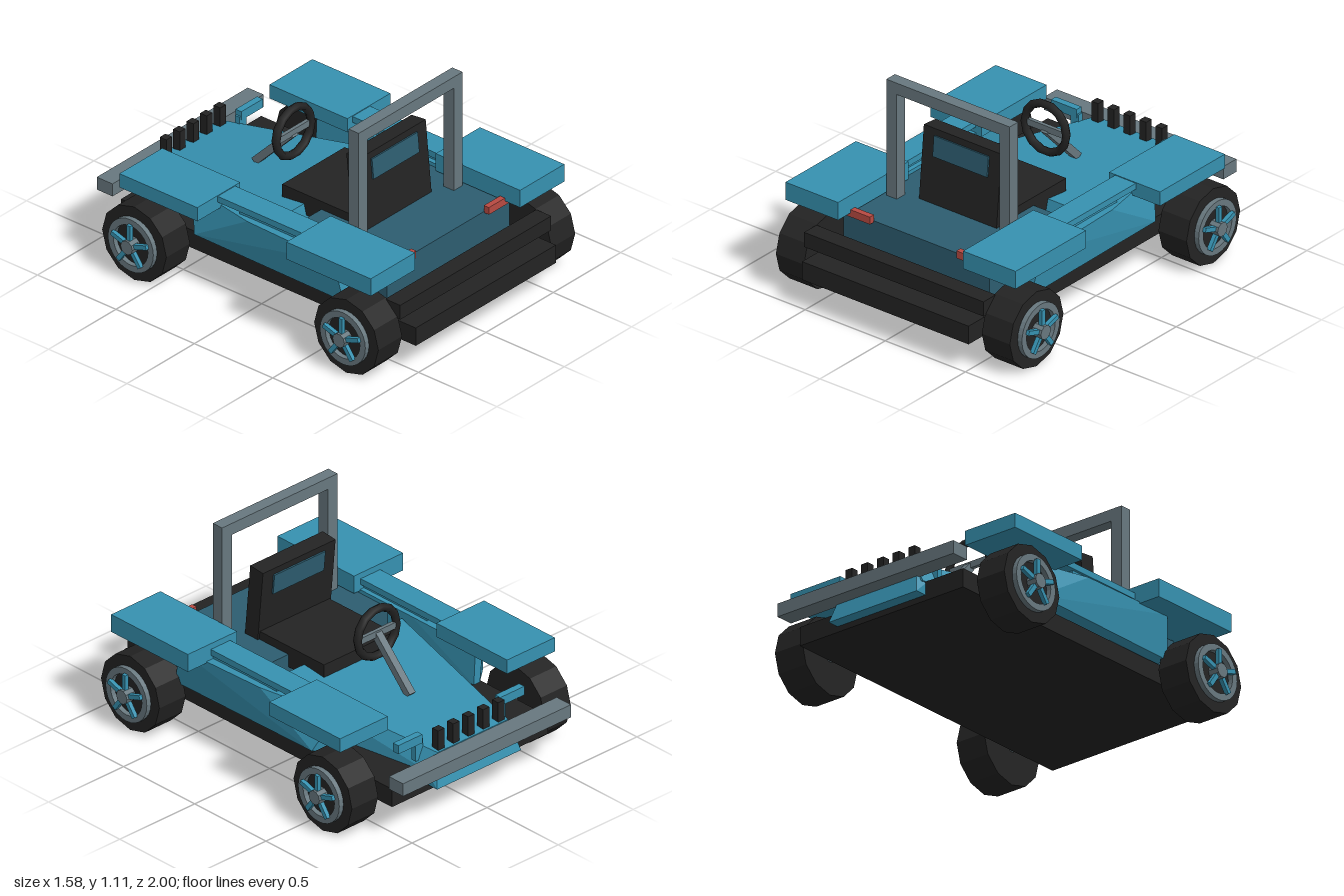
import * as THREE from 'three';
import { ConvexGeometry } from 'three/addons/geometries/ConvexGeometry.js';

const material = (name, color) => {
  const m = new THREE.MeshStandardMaterial({ color });
  m.name = name;
  return m;
};

export function createModel() {
  const car = new THREE.Group();
  car.name = 'openBuggy';
  const blue = material('bodyBlue', 0x3691b0);
  const dark = material('deckBlue', 0x2d5d70);
  const black = material('black', 0x232323);
  const grey = material('metalGrey', 0x68787f);
  const red = material('lampRed', 0xb84a42);

  const add = (name, geo, mat, parent = car) => {
    const mesh = new THREE.Mesh(geo, mat);
    mesh.name = name;
    parent.add(mesh);
    return mesh;
  };
  // Box given by its minimum and maximum on each axis
  const box = (name, mat, x0, x1, y0, y1, z0, z1, parent = car) => {
    const mesh = add(name, new THREE.BoxGeometry(x1 - x0, y1 - y0, z1 - z0), mat, parent);
    mesh.position.set((x0 + x1) / 2, (y0 + y1) / 2, (z0 + z1) / 2);
    return mesh;
  };
  // Box mirrored to both sides of the car
  const pair = (name, mat, x0, x1, ...rest) => {
    box(name + 'Left', mat, x0, x1, ...rest);
    box(name + 'Right', mat, -x1, -x0, ...rest);
  };
  const hull = (name, mat, points) =>
    add(name, new ConvexGeometry(points.map(p => new THREE.Vector3(...p))), mat);

  // Chassis, rear deck and bumpers
  box('chassis', black, -0.52, 0.52, 0.16, 0.26, -0.88, 1);
  box('underfloor', blue, -0.455, 0.455, 0.255, 0.285, -0.3, 0.6);
  box('footwellFloor', black, -0.43, 0.43, 0.28, 0.295, -0.1, 0.2);
  box('rearDeck', dark, -0.455, 0.455, 0.28, 0.47, 0.15, 0.76);
  box('rearBumper', black, -0.56, 0.56, 0.3, 0.38, 0.84, 0.935);
  box('frontBumper', grey, -0.56, 0.56, 0.285, 0.355, -1, -0.9);

  // Tapered hood and nose
  const both = (x, y, z) => [[x, y, z], [-x, y, z]];
  hull('hood', blue, [
    ...both(0.42, 0.46, 0.04), ...both(0.44, 0.26, 0.09),
    ...both(0.235, 0.36, -0.9), ...both(0.28, 0.26, -0.9),
  ]);
  hull('nose', blue, [
    ...both(0.235, 0.36, -0.895), ...both(0.28, 0.19, -0.945),
    ...both(0.28, 0.26, -0.87), ...both(0.28, 0.19, -0.88),
  ]);

  // Side pods that turn inward towards the front
  for (const s of [1, -1]) {
    hull(s > 0 ? 'sidePodLeft' : 'sidePodRight', blue, [
      [0.43, 0.49, 0.545], [0.43, 0.27, 0.58], [0.6, 0.49, 0.545], [0.57, 0.27, 0.58],
      [0.585, 0.495, -0.02], [0.57, 0.28, -0.37],
      [0.43, 0.49, -0.02], [0.43, 0.28, -0.37],
      [0.49, 0.48, -0.455], [0.47, 0.29, -0.455], [0.44, 0.48, -0.455], [0.43, 0.29, -0.455],
    ].map(([x, y, z]) => [s * x, y, z]));
  }

  // Fenders, connecting rails and lamps
  pair('rearFender', blue, 0.39, 0.718, 0.483, 0.58, 0.345, 0.883);
  pair('frontFender', blue, 0.398, 0.716, 0.475, 0.552, -0.722, -0.225);
  pair('sideRail', blue, 0.435, 0.565, 0.515, 0.548, -0.24, 0.36);
  pair('railSupport', blue, 0.455, 0.55, 0.47, 0.52, -0.1, 0.36);
  pair('frontLampBar', blue, 0.26, 0.42, 0.39, 0.438, -0.82, -0.783);
  pair('tailLamp', red, 0.27, 0.415, 0.46, 0.5, 0.755, 0.787);
  pair('lampBracket', blue, 0.25, 0.3, 0.3, 0.41, -0.815, -0.785);

  // Row of grille posts
  for (let i = -2; i <= 2; i++) {
    box('grillePost', black, i * 0.1 - 0.021, i * 0.1 + 0.021, 0.34, 0.47, -0.89, -0.848);
  }

  // Roll bar
  pair('rollBarPost', grey, 0.32, 0.385, 0.46, 1.05, 0.455, 0.52);
  box('rollBarTop', grey, -0.385, 0.385, 1.045, 1.108, 0.455, 0.52);

  // Seat with tilted back and headrest panel
  box('seatCushion', black, -0.232, 0.232, 0.4, 0.515, -0.1, 0.4);
  const seatBack = new THREE.Group();
  seatBack.name = 'seatBack';
  seatBack.position.set(0, 0.45, 0.402);
  seatBack.rotation.x = -0.095;
  car.add(seatBack);
  box('backrest', black, -0.242, 0.242, 0, 0.41, -0.045, 0.045, seatBack);
  box('headrestPanel', dark, -0.17, 0.17, 0.265, 0.375, -0.054, 0.054, seatBack);

  // Steering wheel, crossbar and slanted column
  add('steeringWheel', new THREE.TorusGeometry(0.13, 0.022, 6, 14), black)
    .position.set(0, 0.66, -0.227);
  box('steeringCrossbar', grey, -0.12, 0.12, 0.64, 0.675, -0.24, -0.22);
  const column = add('steeringColumn', new THREE.BoxGeometry(0.04, 0.04, 0.34), grey);
  column.position.set(0, 0.53, -0.345);
  column.rotation.x = -0.8;

  // Wheels: tyre, rim ring, five spokes and hub cap, built along +x
  const cyl = (name, mat, r, x0, x1, sides, parent) => {
    const geo = new THREE.CylinderGeometry(r, r, x1 - x0, sides).toNonIndexed();
    geo.rotateZ(-Math.PI / 2);
    geo.computeVertexNormals();
    const mesh = add(name, geo, mat, parent);
    mesh.position.x = (x0 + x1) / 2;
    return mesh;
  };
  const ringShape = new THREE.Shape().absarc(0, 0, 0.145, 0, Math.PI * 2);
  ringShape.holes.push(new THREE.Path().absarc(0, 0, 0.11, 0, Math.PI * 2, true));
  const ringGeo = new THREE.ExtrudeGeometry(ringShape,
    { depth: 0.03, bevelEnabled: false, curveSegments: 14 }).rotateY(Math.PI / 2);
  for (const z of [0.737, -0.615]) {
    for (const s of [1, -1]) {
      const wheel = new THREE.Group();
      wheel.name = (z > 0 ? 'rear' : 'front') + 'Wheel' + (s > 0 ? 'Left' : 'Right');
      wheel.position.set(0, 0.207, z);
      if (s < 0) wheel.rotation.y = Math.PI;
      car.add(wheel);
      cyl('tyre', black, 0.205, 0.555, 0.73, 12, wheel);
      add('rimRing', ringGeo, grey, wheel).position.x = 0.727;
      for (let i = 0; i < 5; i++) {
        const spoke = new THREE.Group();
        spoke.name = 'spoke';
        spoke.rotation.x = i * Math.PI * 2 / 5;
        wheel.add(spoke);
        box('spokeBar', blue, 0.752, 0.775, 0.02, 0.118, -0.012, 0.012, spoke);
      }
      cyl('hubCap', grey, 0.038, 0.725, 0.788, 10, wheel);
    }
    cyl('axle', grey, 0.03, -0.6, 0.6, 10, car).position.set(0, 0.207, z);
  }
  return car;
}
